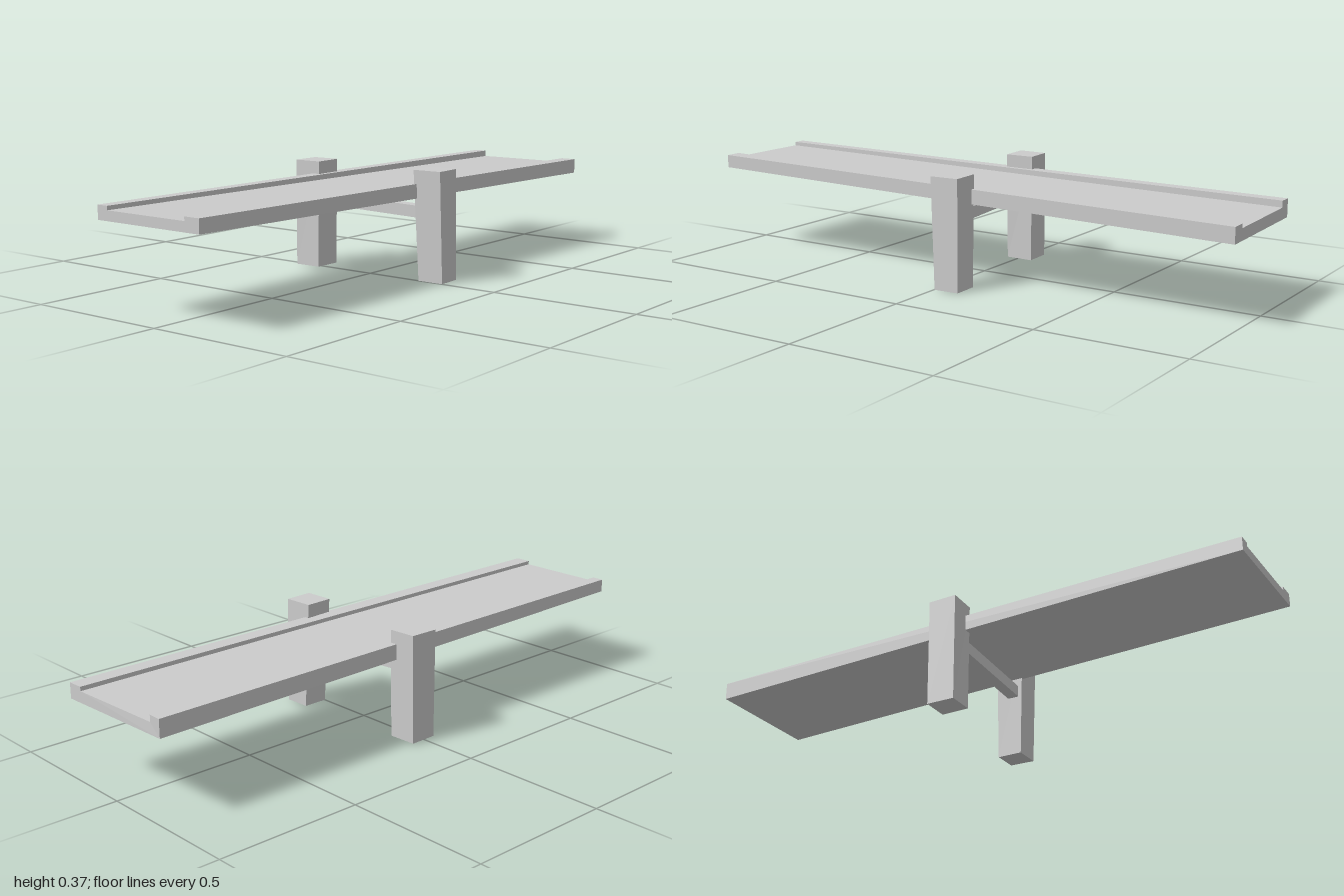
import * as THREE from 'three';

const material = new THREE.MeshStandardMaterial({ color: 0xcccccc, flatShading: true });

// Solid between two matching rings of corners, counter-clockwise about the axis a -> b.
function loft(name, a, b, capQuads = [[0, 1, 2, 3]]) {
  const positions = [];
  const quad = (p, q, r, s) => positions.push(...p, ...q, ...r, ...p, ...r, ...s);
  a.forEach((p, i) => {
    const j = (i + 1) % a.length;
    quad(p, a[j], b[j], b[i]);
  });
  for (const [i, j, k, l] of capQuads) {
    quad(b[i], b[j], b[k], b[l]);
    quad(a[l], a[k], a[j], a[i]);
  }
  const geometry = new THREE.BufferGeometry();
  geometry.setAttribute('position', new THREE.Float32BufferAttribute(positions, 3));
  geometry.computeVertexNormals();
  const mesh = new THREE.Mesh(geometry, material);
  mesh.name = name;
  return mesh;
}

// Leaning post: foot and head are four [x, z] corners each.
function post(name, y0, foot, y1, head) {
  const ring = (y, corners) => corners.map(([x, z]) => [x, y, z]);
  return loft(name, ring(y0, foot), ring(y1, head));
}

// Square bar section at depth z.
function barEnd(x, y, z, r) {
  return [[x - r, y - r, z], [x + r, y - r, z], [x + r, y + r, z], [x - r, y + r, z]];
}

export function createModel() {
  const group = new THREE.Group();

  // Shallow channel with a raised lip along each long edge, from the high end to the low end
  const highEnd = [
    [-1, 0.29, -0.224], [-1, 0.335, -0.224], [-1, 0.335, -0.183], [-1, 0.322, -0.183],
    [-1, 0.322, 0.132], [-1, 0.335, 0.132], [-1, 0.335, 0.188], [-1, 0.29, 0.188],
  ];
  const lowEnd = [
    [0.985, 0.264, -0.222], [0.985, 0.324, -0.222], [0.985, 0.324, -0.178], [0.985, 0.302, -0.178],
    [0.998, 0.302, 0.165], [0.998, 0.316, 0.165], [1, 0.316, 0.219], [1, 0.264, 0.219],
  ];
  group.add(loft('channel', highEnd, lowEnd, [[0, 1, 2, 3], [0, 3, 4, 7], [4, 5, 6, 7]]));

  // Slightly crooked supporting posts
  group.add(post('frontPost',
    0, [[0, 0.203], [0.002, 0.297], [0.09, 0.293], [0.088, 0.203]],
    0.372, [[-0.016, 0.192], [-0.012, 0.295], [0.088, 0.29], [0.083, 0.187]]));
  group.add(post('backPost',
    0.004, [[-0.038, -0.296], [-0.035, -0.202], [0.062, -0.2], [0.058, -0.298]],
    0.373, [[-0.04, -0.295], [-0.035, -0.195], [0.066, -0.198], [0.06, -0.293]]));

  // Tilted crossbar beneath the channel
  group.add(loft('crossbar', barEnd(0.005, 0.244, -0.21, 0.02), barEnd(0.025, 0.23, 0.21, 0.02)));

  return group;
}
